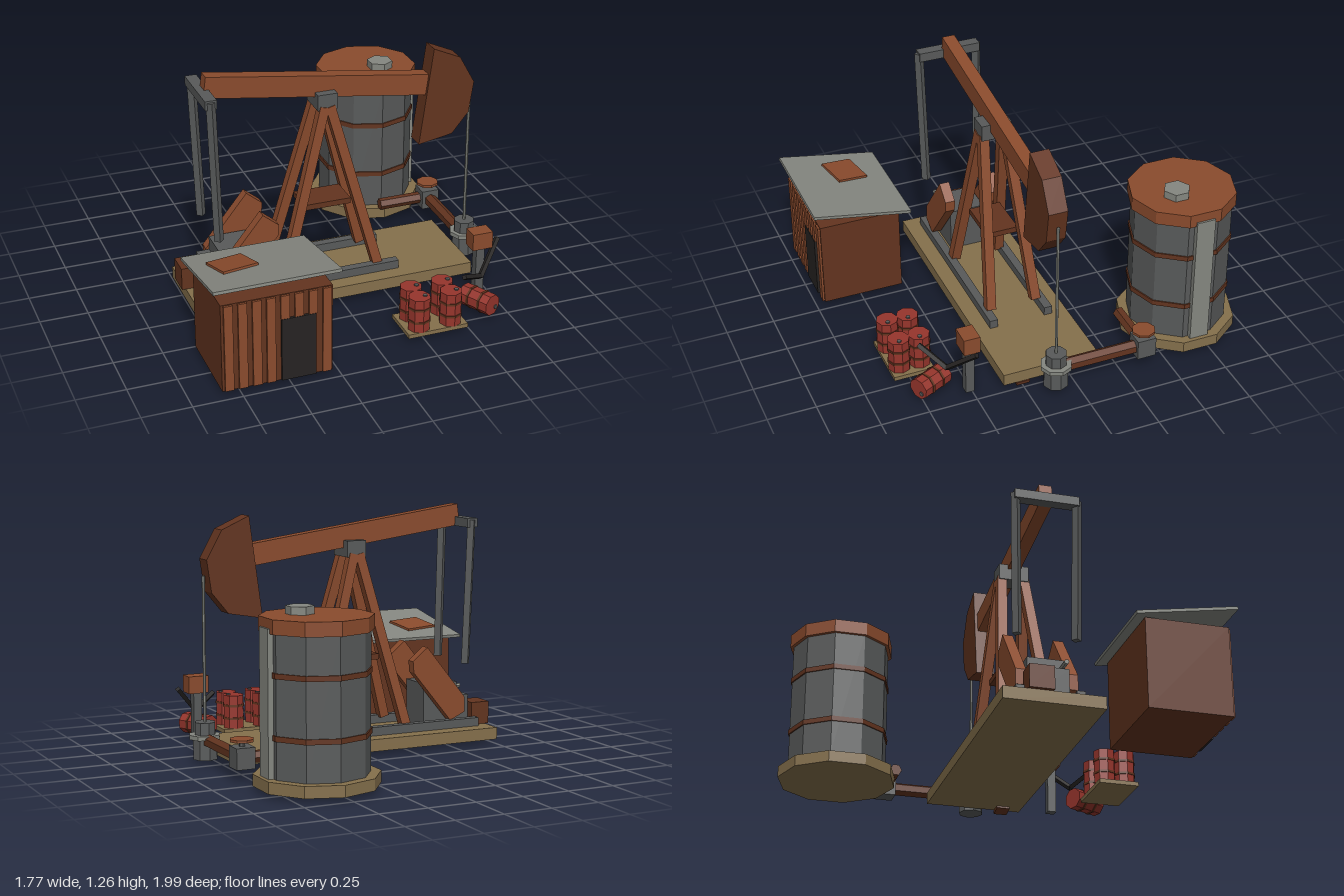
import * as THREE from 'three';

const mat = (color) => new THREE.MeshStandardMaterial({ color, flatShading: true });
const M = {
  wood: mat(0x8a4b2d), dark: mat(0x63341f), steel: mat(0x585a5a), pale: mat(0x858780),
  tan: mat(0x85704c), red: mat(0x96352c), black: mat(0x262322),
};

export function createModel() {
  const root = new THREE.Group();
  const V = (p) => new THREE.Vector3(...p);

  const add = (name, geo, m, pos = [0, 0, 0], parent = root) => {
    const mesh = new THREE.Mesh(geo, m);
    mesh.name = name;
    mesh.position.set(...pos);
    parent.add(mesh);
    return mesh;
  };
  // box given by its minimum and maximum corners
  const box = (name, m, a, b, parent) => add(name,
    new THREE.BoxGeometry(b[0] - a[0], b[1] - a[1], b[2] - a[2]), m,
    a.map((v, i) => (v + b[i]) / 2), parent);
  // upright cylinder from y0 to y1
  const cyl = (name, m, x, z, y0, y1, r, sides, parent, rTop = r) => add(name,
    new THREE.CylinderGeometry(rTop, r, y1 - y0, sides), m, [x, (y0 + y1) / 2, z], parent);
  // square bar between two points, kept level along z
  const bar = (name, m, p, q, w, d = w) => {
    const a = V(p), b = V(q), dir = b.clone().sub(a);
    const mesh = add(name, new THREE.BoxGeometry(w, dir.length(), d), m, a.clone().add(b).multiplyScalar(0.5).toArray());
    mesh.quaternion.setFromUnitVectors(new THREE.Vector3(0, 1, 0), dir.normalize());
    return mesh;
  };
  // round pipe between two points
  const pipe = (name, m, p, q, r, sides = 6) => {
    const mesh = bar(name, m, p, q, 1);
    mesh.geometry = new THREE.CylinderGeometry(r, r, V(p).distanceTo(V(q)), sides);
    return mesh;
  };
  // flat outline in x and y, given a thickness centred on z
  const plate = (name, m, pts, z, depth) => add(name, new THREE.ExtrudeGeometry(
    new THREE.Shape(pts.map((p) => new THREE.Vector2(...p))), { depth, bevelEnabled: false }), m, [0, 0, z - depth / 2]);

  // base slab and rails
  const cz = 0.1;
  box('baseSlab', M.tan, [-0.755, 0.027, -0.16], [0.73, 0.09, 0.35]);
  for (const z of [-0.055, 0.247]) box('rail', M.steel, [-0.69, 0.088, z - 0.022], [0.35, 0.135, z + 0.022]);
  const wedge = box('wedge', M.dark, [0.66, 0.01, 0.21], [0.73, 0.03, 0.28]);
  wedge.rotation.z = -0.2;

  // A-frame tower
  for (const sx of [-1, 1]) for (const sz of [-1, 1]) {
    bar('towerLeg', M.wood, [-0.015 + sx * 0.255, 0.13, cz + sz * 0.125], [-0.015 + sx * 0.015, 1.03, cz + sz * 0.06], 0.05);
  }
  box('towerPlatform', M.dark, [-0.14, 0.475, cz - 0.085], [0.11, 0.505, cz + 0.085]);
  box('saddleBearing', M.steel, [-0.066, 1.015, cz - 0.08], [0.038, 1.1, cz + 0.08]);

  // walking beam and its curved head
  bar('walkingBeam', M.wood, [-0.638, 1.212, cz], [0.6, 1.04, cz], 0.112, 0.068);
  plate('beamHead', M.dark, [[0.5, 0.725], [0.685, 0.758], [0.775, 0.867], [0.8, 1.033], [0.718, 1.18], [0.571, 1.246]], cz, 0.1);
  cyl('pumpRod', M.pale, 0.8, cz, 0.2, 0.95, 0.008, 6);

  // cross bar and connecting arms
  box('crossBar', M.steel, [-0.676, 1.152, -0.07], [-0.616, 1.2, 0.265]);
  for (const s of [-1, 1]) {
    bar('connectingArm', M.steel, [-0.646, 1.19, cz + s * 0.16], [-0.62, 0.43, cz + s * 0.15], 0.035);
    plate('counterweight', M.wood, [[-0.53, 0.13], [-0.31, 0.4], [-0.305, 0.46], [-0.39, 0.53], [-0.615, 0.25], [-0.615, 0.17]], cz + s * 0.13, 0.053);
  }

  // gearbox, crankshaft and motor
  box('gearbox', M.steel, [-0.6, 0.088, 0.005], [-0.4, 0.325, 0.195]);
  box('gearboxStep', M.steel, [-0.67, 0.088, 0.005], [-0.6, 0.25, 0.195]);
  pipe('crankshaft', M.steel, [-0.47, 0.29, cz - 0.15], [-0.47, 0.29, cz + 0.15], 0.03, 8);
  box('motor', M.dark, [-0.775, 0.09, -0.035], [-0.67, 0.21, 0.09]);
  pipe('driveShaft', M.pale, [-0.71, 0.27, 0.17], [-0.53, 0.27, 0.17], 0.013);

  // wellhead
  cyl('wellheadBody', M.steel, 0.8, cz, 0.02, 0.13, 0.065, 8);
  cyl('wellheadFlange', M.pale, 0.803, cz, 0.125, 0.147, 0.082, 8);
  cyl('wellheadNeck', M.steel, 0.8, cz, 0.147, 0.21, 0.055, 8);

  // flow line, valve and handwheel
  pipe('flowLine', M.dark, [0.797, 0.118, 0.06], [0.797, 0.118, -0.35], 0.035);
  pipe('tankLine', M.dark, [0.77, 0.118, -0.382], [0.51, 0.118, -0.382], 0.032);
  box('valveBody', M.steel, [0.748, 0.068, -0.43], [0.845, 0.174, -0.33]);
  cyl('valveStem', M.steel, 0.797, -0.38, 0.17, 0.205, 0.015, 6);
  cyl('handwheel', M.wood, 0.797, -0.38, 0.198, 0.212, 0.061, 8);

  // storage tank
  const tank = new THREE.Group();
  tank.name = 'storageTank';
  tank.position.set(0.542, 0, -0.69);
  root.add(tank);
  cyl('tankBase', M.tan, 0, 0, 0.027, 0.085, 0.307, 10, tank);
  cyl('tankBody', M.steel, 0, 0, 0.085, 0.78, 0.257, 10, tank);
  for (const y of [0.28, 0.573]) cyl('tankBand', M.dark, 0, 0, y - 0.013, y + 0.013, 0.264, 10, tank);
  cyl('tankLid', M.wood, 0, 0, 0.766, 0.836, 0.275, 10, tank);
  cyl('tankHatch', M.pale, 0.06, 0.06, 0.836, 0.875, 0.07, 6, tank);
  box('tankGauge', M.pale, [0.235, 0.08, -0.05], [0.272, 0.79, 0.05], tank);

  // shed with battened front, door and sloping roof
  box('shedWalls', M.dark, [-0.84, 0.022, 0.525], [-0.285, 0.49, 0.955]);
  for (let i = 0; i < 8; i++) {
    const x = -0.805 + i * 0.07;
    const overDoor = x > -0.56 && x < -0.36;
    box('shedBatten', M.wood, [x - 0.022, overDoor ? 0.36 : 0.025, 0.955], [x + 0.022, 0.485, 0.966]);
  }
  box('shedDoor', M.black, [-0.545, 0.025, 0.95], [-0.372, 0.36, 0.968]);
  const roof = new THREE.Group();
  roof.name = 'shedRoof';
  roof.position.set(-0.567, 0.536, 0.73);
  roof.rotation.x = -0.168;
  root.add(roof);
  box('roofSheet', M.pale, [-0.316, -0.008, -0.265], [0.316, 0.008, 0.265], roof);
  box('roofPatch', M.wood, [-0.095, -0.006, -0.085], [0.095, 0.006, 0.085], roof);
  const patch = roof.children[1];
  patch.position.set(-0.126, 0.014, -0.04);
  patch.rotation.y = 0.21;

  // barrels on a pallet, and one lying on its side
  const barrel = (x, y, z) => {
    const g = new THREE.Group();
    g.name = 'barrel';
    g.position.set(x, y, z);
    root.add(g);
    cyl('barrelBody', M.red, 0, 0, -0.09, 0.09, 0.057, 8, g);
    for (const b of [-0.035, 0.035]) cyl('barrelHoop', M.dark, 0, 0, b - 0.006, b + 0.006, 0.061, 8, g);
    cyl('barrelCap', M.steel, 0.028, 0.005, 0.088, 0.096, 0.012, 6, g);
    return g;
  };
  box('pallet', M.tan, [0.165, 0.024, 0.625], [0.485, 0.046, 0.838]);
  for (const x of [0.24, 0.41]) for (const z of [0.677, 0.785]) barrel(x, 0.135, z);
  const fallen = barrel(0.612, 0.078, 0.69);
  fallen.quaternion.setFromUnitVectors(new THREE.Vector3(0, 1, 0), V([0.44, 0, 0.9]).normalize());

  // control post with a bent lever
  box('controlPost', M.steel, [0.662, 0.025, 0.497], [0.708, 0.29, 0.543]);
  box('controlBox', M.wood, [0.632, 0.285, 0.477], [0.742, 0.376, 0.562]);
  bar('leverHandle', M.black, [0.515, 0.238, 0.715], [0.657, 0.165, 0.618], 0.022);
  bar('leverArm', M.black, [0.648, 0.163, 0.624], [0.79, 0.31, 0.515], 0.022);

  return root;
}
